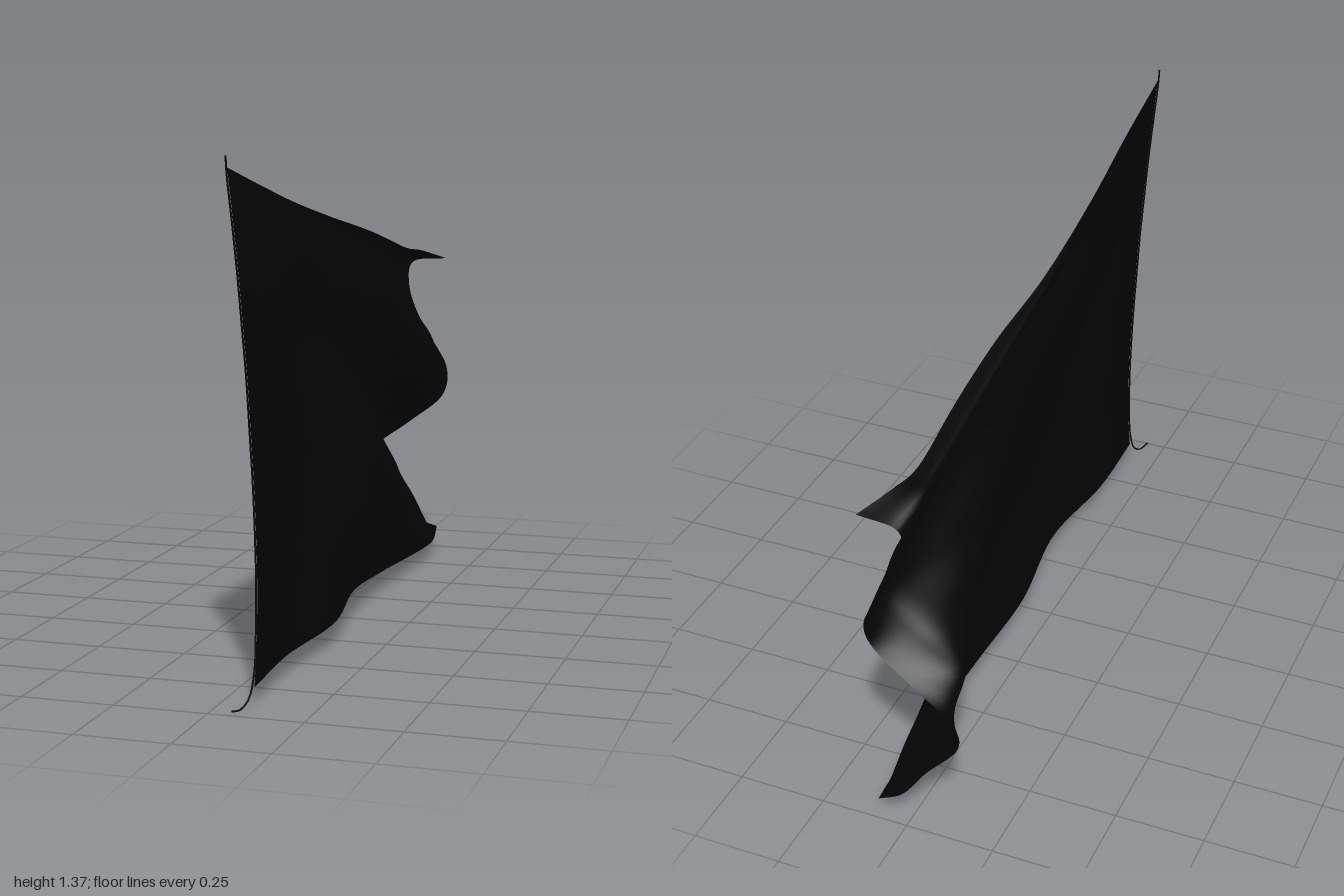
import * as THREE from 'three';

// Smooth uniform interpolation through a list of values, s in 0..1
function smooth(values, s) {
  const n = values.length - 1;
  const i = Math.min(Math.floor(s * n), n - 1);
  const f = s * n - i;
  const b = values[i], c = values[i + 1];
  const a = i > 0 ? values[i - 1] : 2 * b - c;
  const d = i + 2 <= n ? values[i + 2] : 2 * c - b;
  return b + 0.5 * f * (c - a + f * (2 * a - 5 * b + 4 * c - d + f * (3 * (b - c) + d - a)));
}

// Column stations from hoist to fly edge, and the outline at each
const along = [0, 0.15, 0.32, 0.5, 0.65, 0.78, 0.9, 0.95, 1];
const bottomY = [0.05, 0.057, 0.065, 0.072, 0.066, 0.055, 0.046, 0.05, 0.07];
const topY = [1.34, 1.28, 1.22, 1.16, 1.105, 1.055, 1.013, 0.998, 0.967];

// Row stations from bottom to top, closer at the curled edges
const up = [0, 0.03, 0.1, 0.2, 0.3, 0.4, 0.5, 0.6, 0.7, 0.8, 0.9, 0.985, 1];
const hoistZ = [0.905, 0.9, 0.89, 0.885, 0.887, 0.893, 0.903, 0.916, 0.932, 0.949, 0.966, 0.983, 0.986];
const flyZ = [-1, -0.985, -0.95, -0.93, -0.94, -0.935, -0.93, -0.945, -0.953, -0.96, -0.972, -0.98, -0.978];

// Sideways billow of each column, bottom to top; the last value is the curled top edge
const billow = [
  [0.09, 0.091, 0.092, 0.092, 0.09, 0.087, 0.083, 0.08, 0.075, 0.07, 0.063, 0.057, 0.055],
  [0.084, 0.085, 0.086, 0.087, 0.087, 0.087, 0.086, 0.085, 0.083, 0.08, 0.07, 0.05, 0.046],
  [0.115, 0.117, 0.118, 0.117, 0.114, 0.11, 0.105, 0.095, 0.08, 0.084, 0.077, 0.03, 0.026],
  [0.07, 0.085, 0.11, 0.132, 0.13, 0.12, 0.1, 0.072, 0.073, 0.107, 0.068, 0.003, 0.018],
  [0.078, 0.085, 0.1, 0.11, 0.1, 0.078, 0.042, 0.03, 0.085, 0.113, 0.06, -0.005, 0.038],
  [0.09, 0.092, 0.095, 0.088, 0.065, 0.015, -0.018, 0.04, 0.11, 0.087, 0.03, -0.012, 0.04],
  [0.098, 0.095, 0.085, 0.05, -0.012, -0.075, -0.008, 0.095, 0.115, 0.055, 0, -0.019, 0.03],
  [0.095, 0.085, 0.06, 0.005, -0.08, -0.09, 0.045, 0.122, 0.097, 0.035, -0.013, -0.021, 0.055],
  [0.08, 0.015, -0.04, -0.122, -0.115, 0, 0.11, 0.124, 0.075, 0.02, -0.012, 0, 0.11],
];

// Point on the cloth: s runs hoist to fly, r runs bottom to top
function clothPoint(s, r) {
  return new THREE.Vector3(
    smooth(billow.map((column) => smooth(column, r)), s),
    THREE.MathUtils.lerp(smooth(bottomY, s), smooth(topY, s), smooth(up, r)),
    THREE.MathUtils.lerp(smooth(hoistZ, r), smooth(flyZ, r), smooth(along, s))
  );
}

export function createModel() {
  const group = new THREE.Group();
  const black = 0x040404;

  // Waving cloth
  const clothGeometry = new THREE.PlaneGeometry(1, 1, 96, 84);
  const position = clothGeometry.attributes.position;
  for (let i = 0; i < position.count; i++) {
    const p = clothPoint(position.getX(i) + 0.5, position.getY(i) + 0.5);
    position.setXYZ(i, p.x, p.y, p.z);
  }
  clothGeometry.computeVertexNormals();
  const cloth = new THREE.Mesh(
    clothGeometry,
    new THREE.MeshStandardMaterial({ color: black, side: THREE.DoubleSide })
  );
  cloth.name = 'flagCloth';
  group.add(cloth);

  // Thin rope beside the hoist edge, with loose ends above and below
  const path = [
    new THREE.Vector3(0.058, 0.01, 0.99),
    new THREE.Vector3(0.07, 0.005, 0.955),
    new THREE.Vector3(0.082, 0.025, 0.925),
  ];
  for (let i = 1; i <= 11; i++) {
    path.push(clothPoint(0, i / 12).add(new THREE.Vector3(0, 0, 0.009)));
  }
  path.push(new THREE.Vector3(0.056, 1.368, 0.997));
  const rope = new THREE.Mesh(
    new THREE.TubeGeometry(new THREE.CatmullRomCurve3(path), 80, 0.0025, 6),
    new THREE.MeshStandardMaterial({ color: black })
  );
  rope.name = 'hoistRope';
  group.add(rope);

  return group;
}
